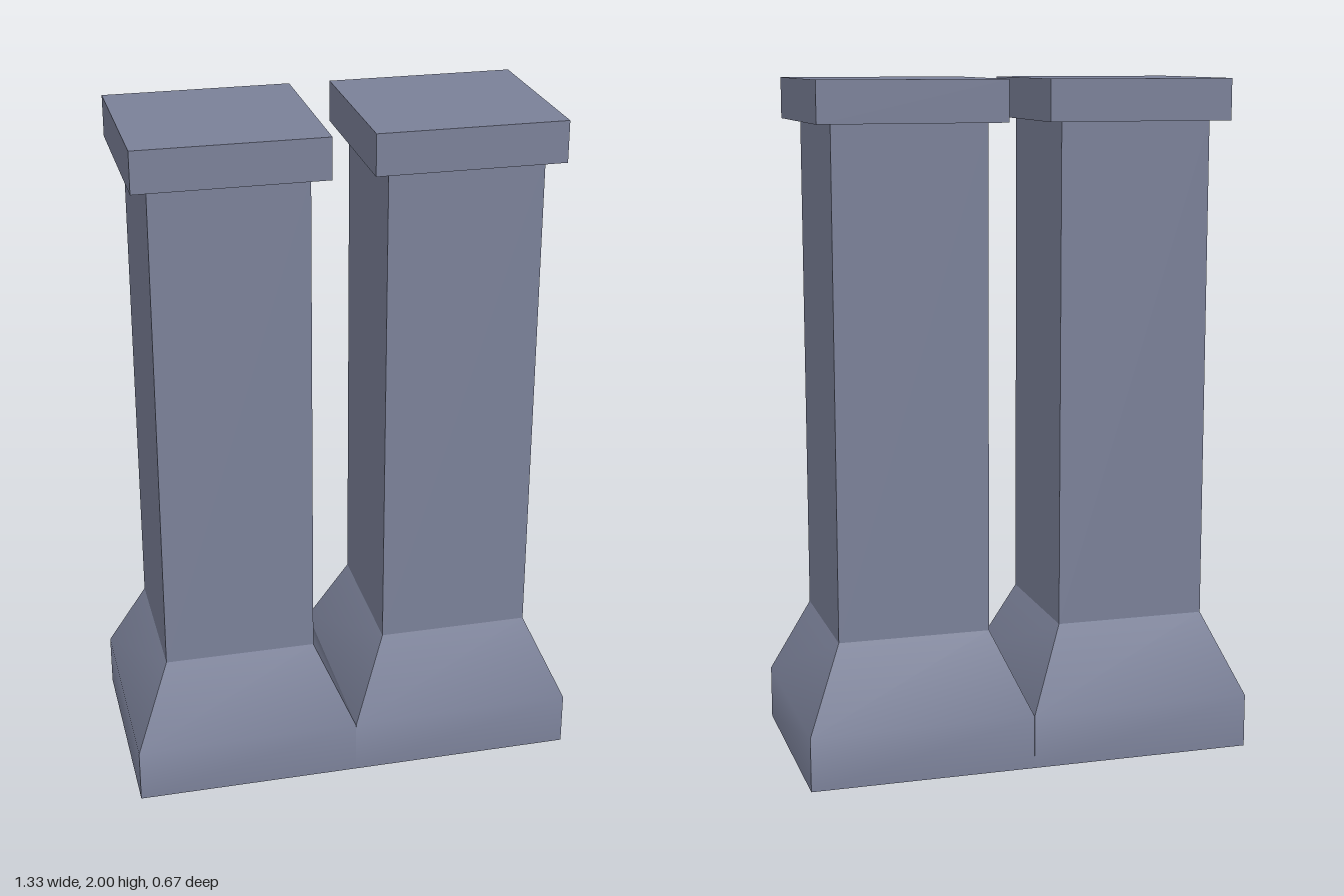
import * as THREE from 'three';
import { mergeGeometries } from 'three/addons/utils/BufferGeometryUtils.js';

const SPACING = 1 / 3; // distance of each stack from the centre

// Profile of the flared foot, top to bottom: [half width, height]
const FOOT = [[0.225, 0.4], [0.333, 0.16], [0.333, 0]];

// Four sides, each smooth over its own bend but sharp at the corners, plus an underside
function footGeometry() {
  const faces = [];
  for (let side = 0; side < 4; side++) {
    const face = new THREE.PlaneGeometry(1, 1, 1, FOOT.length - 1);
    const pos = face.attributes.position;
    for (let i = 0; i < pos.count; i++) {
      const [half, y] = FOOT[Math.floor(i / 2)];
      pos.setXYZ(i, i % 2 ? half : -half, y, half);
    }
    face.computeVertexNormals();
    faces.push(face.rotateY(side * Math.PI / 2));
  }
  const width = FOOT[2][0] * 2;
  faces.push(new THREE.PlaneGeometry(width, width).rotateX(Math.PI / 2));
  return mergeGeometries(faces);
}

export function createModel() {
  const stone = new THREE.MeshStandardMaterial({ color: 0x7c829a });
  stone.name = 'blueGreyStone';

  const add = (parent, name, geometry, y = 0) => {
    const mesh = new THREE.Mesh(geometry, stone);
    mesh.name = name;
    mesh.position.y = y;
    parent.add(mesh);
  };

  const model = new THREE.Group();
  model.name = 'twinChimney';

  // Two identical stacks, their feet meeting in the middle
  for (const side of [-1, 1]) {
    const stack = new THREE.Group();
    stack.name = side > 0 ? 'leftStack' : 'rightStack';
    stack.position.x = side * SPACING;
    add(stack, 'foot', footGeometry());
    add(stack, 'shaft', new THREE.BoxGeometry(0.45, 1.48, 0.45), 1.14);
    add(stack, 'cap', new THREE.BoxGeometry(0.546, 0.12, 0.546), 1.94);
    model.add(stack);
  }
  return model;
}
